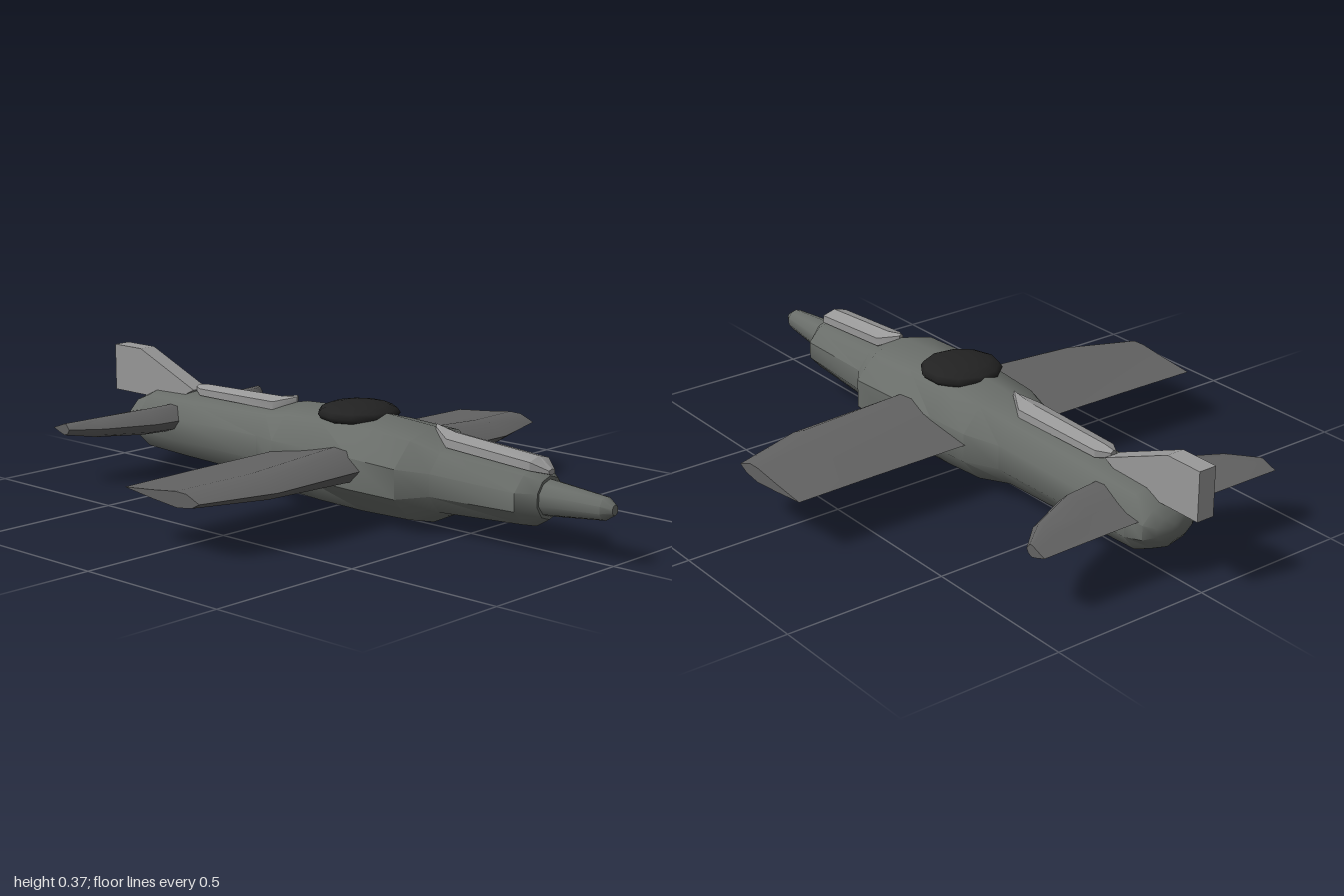
import * as THREE from 'three';
import { toCreasedNormals } from 'three/addons/utils/BufferGeometryUtils.js';

const paint = (color) => new THREE.MeshStandardMaterial({ color });
const hullPaint = paint(0x696d69);
const wingPaint = paint(0x626262);
const trimPaint = paint(0x999999);
const glassPaint = paint(0x222222);

// Skin a list of closed rings ([x, y, z] points) and cap both ends
function loft(rings, crease = 0.7) {
  const n = rings[0].length;
  const points = rings.flat();
  const tris = [];
  for (let r = 0; r < rings.length - 1; r++) {
    for (let i = 0; i < n; i++) {
      const a = r * n + i, b = r * n + (i + 1) % n;
      tris.push([a, b, a + n], [b, b + n, a + n]);
    }
  }
  [0, rings.length - 1].forEach((r) => {
    const c = points.length;
    points.push([0, 1, 2].map((k) => rings[r].reduce((s, p) => s + p[k], 0) / n));
    for (let i = 0; i < n; i++) {
      const a = r * n + i, b = r * n + (i + 1) % n;
      tris.push(r === 0 ? [b, a, c] : [a, b, c]);
    }
  });
  // Turn the faces outwards whichever way the rings run
  const v = points.map((p) => new THREE.Vector3(...p));
  const volume = tris.reduce((s, [a, b, c]) => s + v[a].dot(v[b].clone().cross(v[c])), 0);
  if (volume < 0) tris.forEach((t) => t.reverse());
  const geometry = new THREE.BufferGeometry();
  geometry.setAttribute('position', new THREE.Float32BufferAttribute(points.flat(), 3));
  geometry.setIndex(tris.flat());
  return toCreasedNormals(geometry, crease);
}

// Regular polygon ring around the long axis, one corner straight down
function ring(sides, z, halfWidth, bottom, top) {
  return Array.from({ length: sides }, (_, i) => {
    const a = (i / sides) * Math.PI * 2;
    return [Math.sin(a) * halfWidth, (top + bottom) / 2 - Math.cos(a) * (top - bottom) / 2, z];
  });
}

// Aerofoil outline: [chord position from leading edge, height -1..1]
const FOIL = [[0, 0.05], [0.17, 0.95], [0.31, 1], [0.62, 0.5], [1, 0], [0.62, -0.6], [0.29, -1], [0.1, -0.65]];

// Stations are [x, leading z, trailing z, mid y, half thickness]
function wing(stations, side) {
  return loft(stations.map(([x, lead, trail, y, t]) =>
    FOIL.map(([c, h]) => [side * x, y + h * t, lead + (trail - lead) * c])), 0.9);
}

function createModel() {
  const group = new THREE.Group();
  const add = (name, geometry, material) => {
    const mesh = new THREE.Mesh(geometry, material);
    mesh.name = name;
    group.add(mesh);
    return mesh;
  };

  // Fuselage: [z, half width, bottom, top]
  const hull = [
    [0.78, 0.06, 0.095, 0.22], [0.735, 0.107, 0.068, 0.24], [0.44, 0.121, 0.048, 0.262],
    [0.36, 0.184, 0.012, 0.297], [0.18, 0.18, 0.004, 0.308], [0, 0.174, 0.006, 0.308],
    [-0.15, 0.163, 0.013, 0.3], [-0.26, 0.118, 0.035, 0.276], [-0.62, 0.111, 0.044, 0.264],
    [-0.8, 0.112, 0.053, 0.258], [-0.86, 0.1, 0.085, 0.228], [-0.885, 0.07, 0.115, 0.2],
    [-0.9, 0.025, 0.14, 0.178],
  ];
  add('fuselage', loft(hull.map((s) => ring(10, ...s))), hullPaint);

  // Tapered nose cone
  const nose = [[1, 0.014, 0.145, 0.175], [0.97, 0.032, 0.126, 0.194], [0.79, 0.052, 0.106, 0.21], [0.74, 0.055, 0.1, 0.213]];
  add('noseCone', loft(nose.map((s) => ring(10, ...s))), hullPaint);

  // Flattened canopy dome
  const canopy = add('canopy', new THREE.SphereGeometry(1, 11, 8), glassPaint);
  canopy.scale.set(0.125, 0.036, 0.124);
  canopy.position.set(0, 0.296, 0.063);

  // Raised strips along the back
  const frontSpine = [[0.785, 0.015, 0.222, 0.24], [0.74, 0.05, 0.222, 0.27], [0.44, 0.05, 0.24, 0.291], [0.37, 0.008, 0.28, 0.306]];
  const rearSpine = [[-0.19, 0.004, 0.29, 0.312], [-0.26, 0.046, 0.25, 0.3], [-0.59, 0.04, 0.25, 0.293], [-0.63, 0.012, 0.262, 0.288]];
  add('frontSpine', loft(frontSpine.map((s) => ring(6, ...s)), 0.5), trimPaint);
  add('rearSpine', loft(rearSpine.map((s) => ring(6, ...s)), 0.5), trimPaint);

  // Main wings and tailplanes, mirrored
  const mainWing = [
    [0.08, 0.225, -0.155, 0.167, 0.057], [0.18, 0.225, -0.155, 0.167, 0.053],
    [0.5, 0.225, -0.155, 0.165, 0.036], [0.73, 0.15, -0.155, 0.162, 0.023],
  ];
  const tailplane = [
    [0.05, -0.605, -0.845, 0.184, 0.043], [0.19, -0.622, -0.845, 0.184, 0.04],
    [0.34, -0.695, -0.845, 0.183, 0.03], [0.422, -0.77, -0.845, 0.182, 0.018],
  ];
  [['left', 1], ['right', -1]].forEach(([label, side]) => {
    add(`${label}Wing`, wing(mainWing, side), wingPaint);
    add(`${label}Tailplane`, wing(tailplane, side), wingPaint);
  });

  // Swept tail fin: side outline as (-z, y), extruded across x
  const outline = new THREE.Shape([[0.625, 0.272], [0.875, 0.376], [1, 0.376], [1, 0.226], [0.72, 0.226]]
    .map(([u, y]) => new THREE.Vector2(u, y)));
  const fin = new THREE.ExtrudeGeometry(outline, { depth: 0.058, bevelEnabled: false });
  fin.translate(0, 0, -0.029).rotateY(Math.PI / 2);
  add('tailFin', fin, trimPaint);

  return group;
}

export { createModel };
